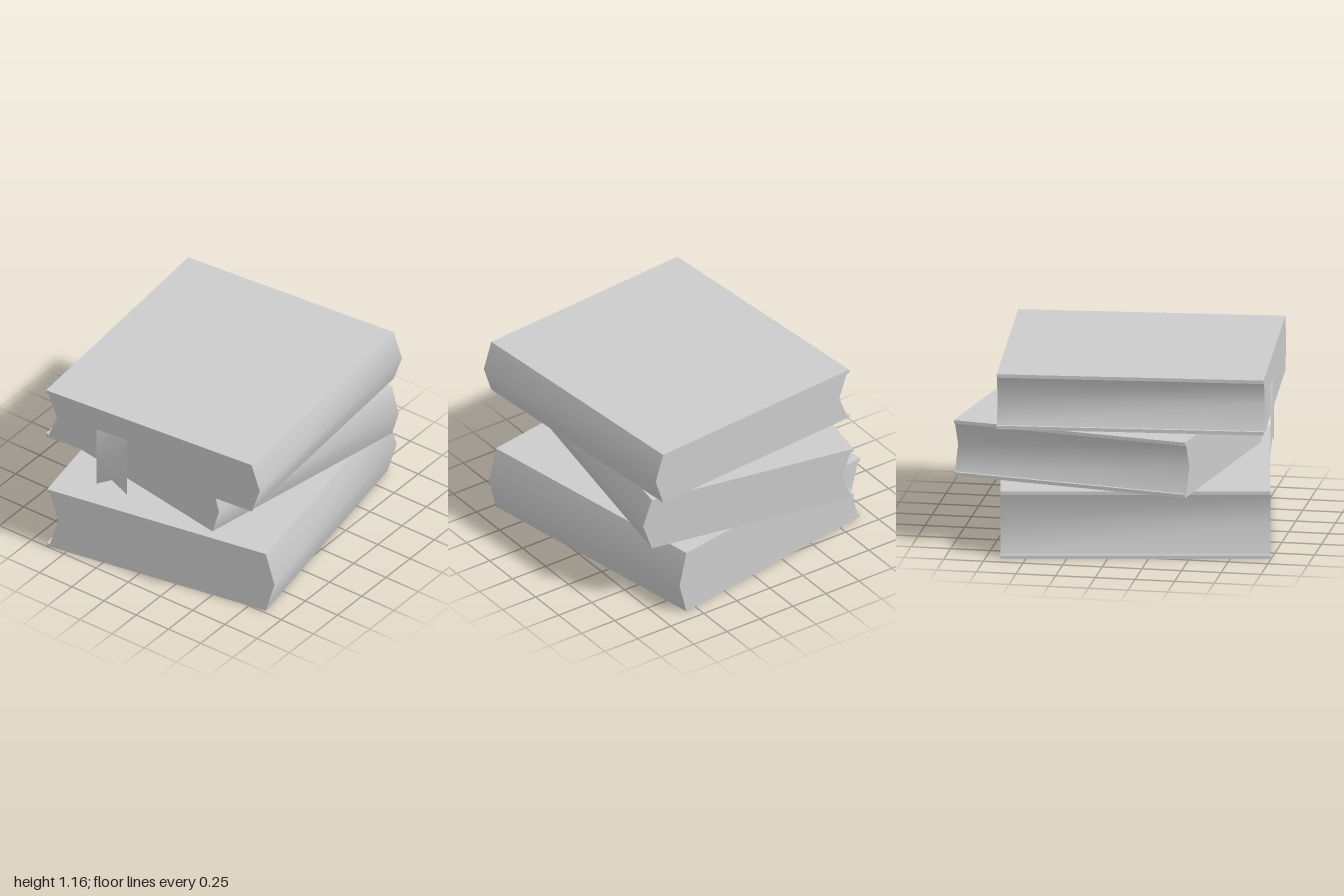
import * as THREE from 'three';
import { toCreasedNormals } from 'three/addons/utils/BufferGeometryUtils.js';

const grey = new THREE.MeshStandardMaterial({ color: 0xcccccc, side: THREE.DoubleSide });
grey.name = 'plain grey';

// Closed book: pointed spine on +x, hollow fore-edge between cover lips on -x
function makeBook(name, width, height, depth, x, y, z, degrees) {
  const w = width / 2, lip = 0.022, bulge = 0.06;
  const outline = new THREE.Shape([
    [-w, 0], [w - bulge, 0], [w, height / 2], [w - bulge, height], [-w, height],
    [-w, height - lip], [-w + 0.02, height - lip], [-w + 0.08, height / 2],
    [-w + 0.02, lip], [-w, lip],
  ].map(([px, py]) => new THREE.Vector2(px, py)));
  const geometry = new THREE.ExtrudeGeometry(outline, { depth, bevelEnabled: false });
  geometry.translate(0, 0, -depth / 2);

  const body = new THREE.Mesh(toCreasedNormals(geometry, 0.8), grey);
  body.name = name + 'Body';
  const book = new THREE.Group();
  book.name = name;
  book.add(body);
  book.position.set(x, y, z);
  book.rotation.y = THREE.MathUtils.degToRad(degrees);
  return book;
}

// Ribbon strip: leaves the pages, folds down and ends in a swallowtail
function makeBookmark(width, top, notch, tail, inner, outer) {
  const h = width / 2;
  const rows = [
    [top, top, inner], [top, top, outer],
    [notch, notch, outer], [tail, notch, outer],
  ];
  const positions = [], index = [];
  rows.forEach(([side, middle, z], r) => {
    positions.push(-h, side, z, 0, middle, z, h, side, z);
    if (r === rows.length - 1) return;
    for (let c = 0; c < 2; c++) {
      const a = r * 3 + c, b = a + 1, d = a + 3, e = a + 4;
      index.push(a, d, b, b, d, e);
    }
  });
  // Drop the zero-area halves next to the notch
  const kept = [];
  const p = (i) => new THREE.Vector3().fromArray(positions, i * 3);
  for (let i = 0; i < index.length; i += 3) {
    const tri = new THREE.Triangle(...index.slice(i, i + 3).map(p));
    if (tri.getArea() > 1e-6) kept.push(...index.slice(i, i + 3));
  }
  const geometry = new THREE.BufferGeometry();
  geometry.setAttribute('position', new THREE.Float32BufferAttribute(positions, 3));
  geometry.setIndex(kept);
  geometry.computeVertexNormals();
  const mesh = new THREE.Mesh(geometry, grey);
  mesh.name = 'bookmark';
  return mesh;
}

export function createModel() {
  const model = new THREE.Group();
  model.name = 'bookStack';
  const bottom = makeBook('bottomBook', 1.584, 0.433, 1.675, 0, 0, 0.033, 10);
  const middle = makeBook('middleBook', 1.442, 0.357, 1.528, -0.057, 0.44, -0.123, -10);
  const top = makeBook('topBook', 1.565, 0.354, 1.666, 0.04, 0.802, 0.063, 4.9);

  // Bookmark hangs from the middle of the top book's pages
  const bookmark = makeBookmark(0.226, 0.193, -0.142, -0.212, 0.8, 0.843);
  bookmark.position.x = -0.295;
  top.add(bookmark);

  model.add(bottom, middle, top);
  return model;
}
